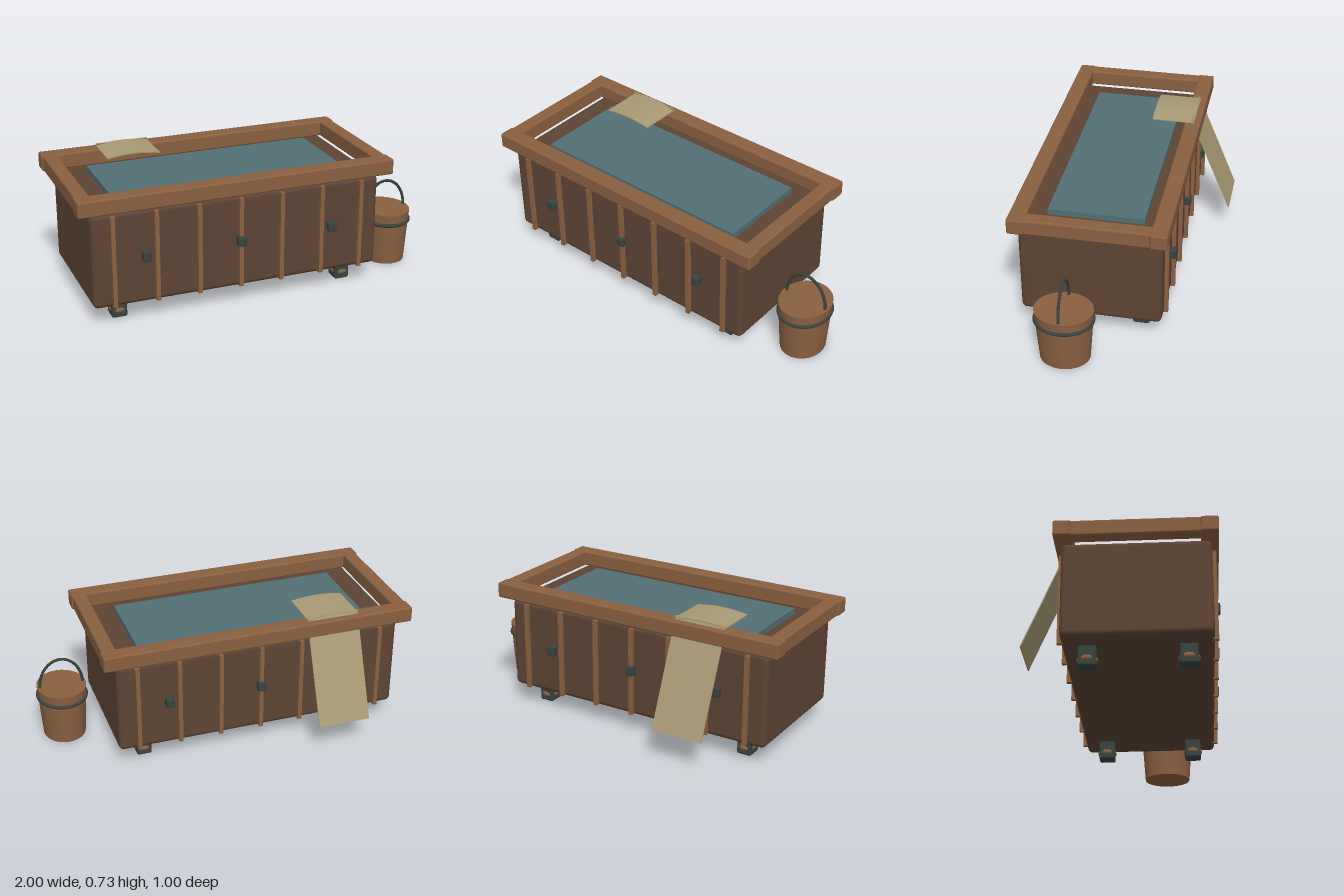
import * as THREE from 'three';
import { RoundedBoxGeometry } from 'three/addons/geometries/RoundedBoxGeometry.js';

const mat = (name, color, side = THREE.FrontSide) => {
  const m = new THREE.MeshStandardMaterial({ color, side });
  m.name = name;
  return m;
};

export function createModel() {
  const root = new THREE.Group();
  root.name = 'bathTub';
  const wood = mat('wood', 0x8a6040);
  const darkWood = mat('darkWood', 0x5e4434);
  const iron = mat('iron', 0x38433f);
  const water = mat('water', 0x527074);
  const cloth = mat('cloth', 0xa99a74, THREE.DoubleSide);

  const add = (name, geometry, material, x = 0, y = 0, z = 0, parent = root) => {
    const mesh = new THREE.Mesh(geometry, material);
    mesh.name = name;
    mesh.position.set(x, y, z);
    parent.add(mesh);
    return mesh;
  };
  // rounded box given by its limits on each axis
  const block = (name, material, [x0, x1], [y0, y1], [z0, z1], r) =>
    add(name, new RoundedBoxGeometry(x1 - x0, y1 - y0, z1 - z0, 3, r), material,
      (x0 + x1) / 2, (y0 + y1) / 2, (z0 + z1) / 2);

  const CX = -0.14, CZ = 0.0925; // middle of the tub

  // tub body and water
  block('tubBody', darkWood, [-0.93, 0.65], [0.103, 0.613], [-0.28, 0.465], 0.028);
  add('water', new THREE.BoxGeometry(1.275, 0.04, 0.505), water, CX + 0.002, 0.625, 0.0875);

  // rim rails
  const rimY = [0.62, 0.705];
  block('frontRail', wood, [-1, 0.72], rimY, [0.411, 0.5], 0.01);
  block('backRail', wood, [-1, 0.72], rimY, [-0.316, -0.227], 0.01);
  block('leftEndRail', wood, [0.635, 0.712], rimY, [-0.235, 0.419], 0.01);
  block('rightEndRail', wood, [-0.992, -0.915], rimY, [-0.235, 0.419], 0.01);

  // slats, iron studs and feet, mirrored front to back
  for (const side of [1, -1]) {
    for (let i = -3; i <= 3; i++) {
      add('slat', new THREE.BoxGeometry(0.022, 0.49, 0.03), wood,
        CX + i * 0.2275, 0.355, CZ + side * 0.378);
    }
    for (let i = -1; i <= 1; i++) {
      add('stud', new RoundedBoxGeometry(0.046, 0.054, 0.04, 2, 0.008), iron,
        CX + i * 0.513, 0.367, CZ + side * 0.387);
    }
    for (const end of [1, -1]) {
      const x = CX + end * 0.635, z = CZ + side * 0.2475;
      add('foot', new RoundedBoxGeometry(0.082, 0.12, 0.09, 2, 0.01), iron, x, 0.06, z);
      const ball = add('footBall', new THREE.SphereGeometry(1, 20, 14), wood, x, 0.041, z);
      ball.scale.set(0.048, 0.028, 0.054);
    }
  }

  // towel: arched sheet over the rail and a straight hanging end
  const sheet = new THREE.BoxGeometry(0.29, 0.006, 0.235, 16, 1, 1);
  const p = sheet.attributes.position;
  for (let i = 0; i < p.count; i++) {
    p.setY(i, p.getY(i) + 0.013 * Math.cos((p.getX(i) / 0.145) * Math.PI / 2));
  }
  sheet.computeVertexNormals();
  add('towelTop', sheet, cloth, -0.545, 0.711, -0.163);
  const dz = 0.23, dy = 0.555;
  const hanging = add('towelEnd', new THREE.BoxGeometry(0.29, Math.hypot(dz, dy), 0.006),
    cloth, -0.545, 0.725 - dy / 2, -0.27 - dz / 2);
  hanging.rotation.x = Math.atan2(dz, dy);

  // oval bucket with hoop and handle
  const bucket = new THREE.Group();
  bucket.name = 'bucket';
  bucket.position.set(0.854, 0, 0.182);
  root.add(bucket);
  const pail = add('bucketBody', new THREE.CylinderGeometry(0.154, 0.132, 0.298, 28), wood, 0, 0.149, 0, bucket);
  pail.scale.x = 0.88;
  const hoop = add('bucketHoop', new THREE.TorusGeometry(0.149, 0.011, 10, 36), iron, 0, 0.239, 0, bucket);
  hoop.rotation.x = Math.PI / 2;
  hoop.scale.x = 0.89;
  const arc = [];
  for (let i = 0; i <= 12; i++) {
    const a = (i / 12) * Math.PI;
    arc.push(new THREE.Vector3(0.12 * Math.cos(a), 0.29 + 0.164 * Math.sin(a), 0));
  }
  add('bucketHandle', new THREE.TubeGeometry(new THREE.CatmullRomCurve3(arc), 36, 0.008, 8), iron, 0, 0, 0, bucket);

  return root;
}
